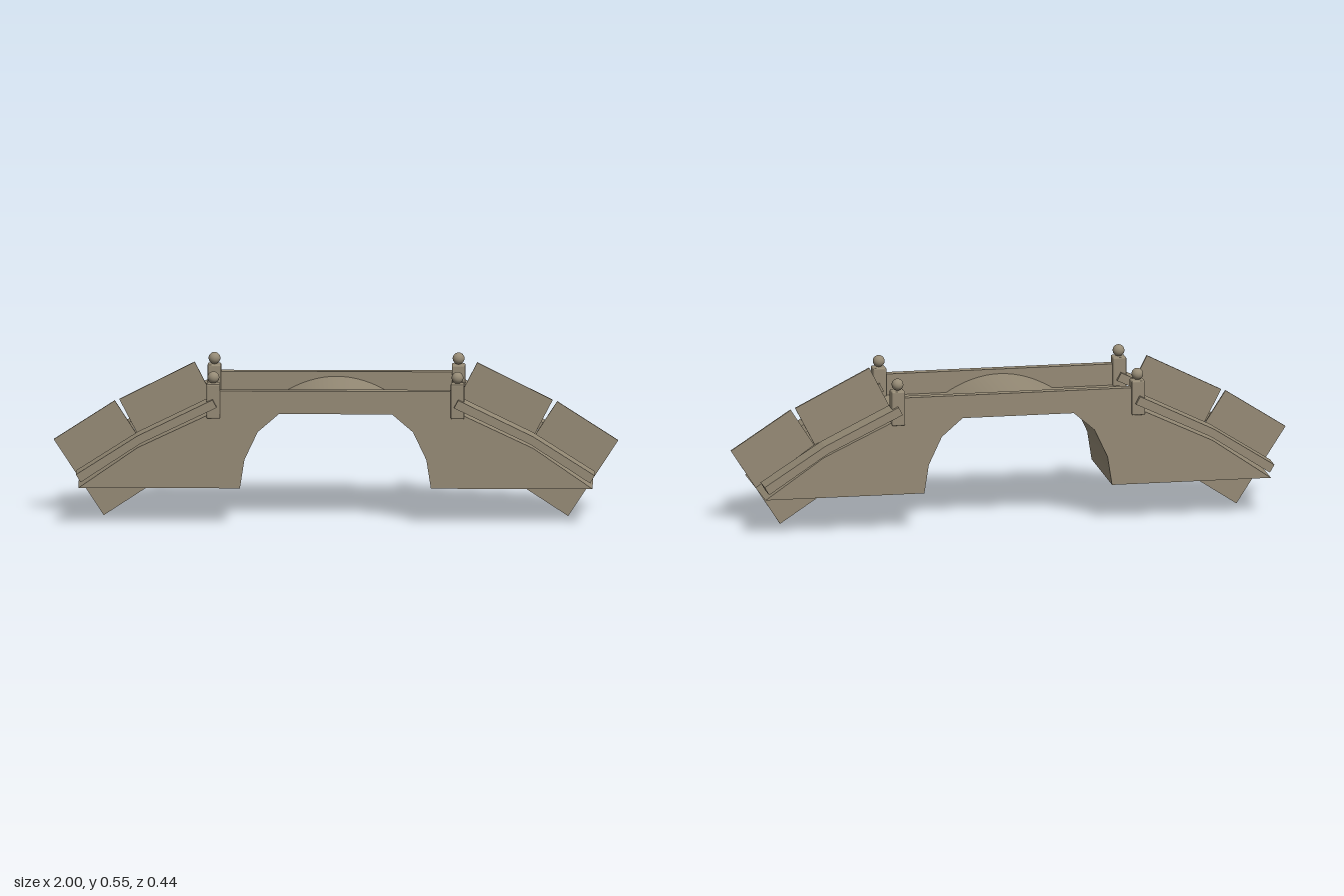
import * as THREE from 'three';
import { toCreasedNormals } from 'three/addons/utils/BufferGeometryUtils.js';
import { RoundedBoxGeometry } from 'three/addons/geometries/RoundedBoxGeometry.js';

const stone = new THREE.MeshStandardMaterial({ color: 0x968b76 });
stone.name = 'stone';

// Side profile (x, y) extruded from z0 to z1
function slab(name, points, z0, z1, crease = 0.1) {
  const shape = new THREE.Shape(points.map(([x, y]) => new THREE.Vector2(x, y)));
  const geo = new THREE.ExtrudeGeometry(shape, { depth: z1 - z0, bevelEnabled: false });
  geo.translate(0, 0, z0);
  const mesh = new THREE.Mesh(toCreasedNormals(geo, crease), stone);
  mesh.name = name;
  return mesh;
}

const mirrored = (half) => [...half, ...half.slice().reverse().map(([x, y]) => [-x, y])];

// Everything that repeats at each end of the bridge
function createEnd(name) {
  const end = new THREE.Group();
  end.name = name;

  // Thin upright plates along the middle of the ramp
  end.add(slab('upperPlate', [[0.50, 0.555], [0.355, 0.27], [0.62, 0.135], [0.767, 0.42]], -0.004, 0.004));
  end.add(slab('lowerPlate', [[0.783, 0.415], [0.608, 0.143], [0.822, 0.002], [0.999, 0.275]], -0.004, 0.004));

  for (const side of [-1, 1]) {
    // Bent ramp rail
    const rail = slab('rampRail', [
      [0.435, 0.46], [0.42, 0.432], [0.69, 0.302], [0.902, 0.162], [0.918, 0.19], [0.70, 0.33],
    ], -0.04, 0.04);
    rail.position.z = side * 0.18;
    end.add(rail);

    // Post with its ball
    const post = new THREE.Mesh(new RoundedBoxGeometry(0.048, 0.124, 0.052, 2, 0.005), stone);
    post.name = 'post';
    post.position.set(0.432, 0.451, side * 0.179);
    end.add(post);
    const ball = new THREE.Mesh(new THREE.SphereGeometry(0.021, 20, 14), stone);
    ball.name = 'postBall';
    ball.position.set(0.432, 0.534, side * 0.179);
    end.add(ball);
  }
  return end;
}

export function createModel() {
  const bridge = new THREE.Group();
  bridge.name = 'bridge';

  // Body with arch opening and ramps
  bridge.add(slab('body', mirrored([
    [0.20, 0.405], [0.275, 0.34], [0.322, 0.24], [0.338, 0.137],
    [0.91, 0.137], [0.70, 0.283], [0.43, 0.411],
  ]), -0.195, 0.195, 0.4));

  // Raised hump of the deck
  const hump = [];
  for (let i = 0; i <= 16; i++) {
    const t = 1 - i / 8;
    hump.push([-t * 0.195, 0.409 + 0.062 * (1 - t * t)]);
  }
  bridge.add(slab('deckHump', hump.reverse(), -0.166, 0.166, 0.3));

  // Parapet walls
  for (const side of [-1, 1]) {
    const wall = slab('parapet', [[-0.43, 0.405], [0.43, 0.405], [0.43, 0.488], [-0.43, 0.488]], -0.015, 0.015);
    wall.position.z = side * 0.181;
    bridge.add(wall);
  }

  const left = createEnd('leftEnd');
  const right = createEnd('rightEnd');
  right.rotation.y = Math.PI;
  bridge.add(left, right);
  return bridge;
}
